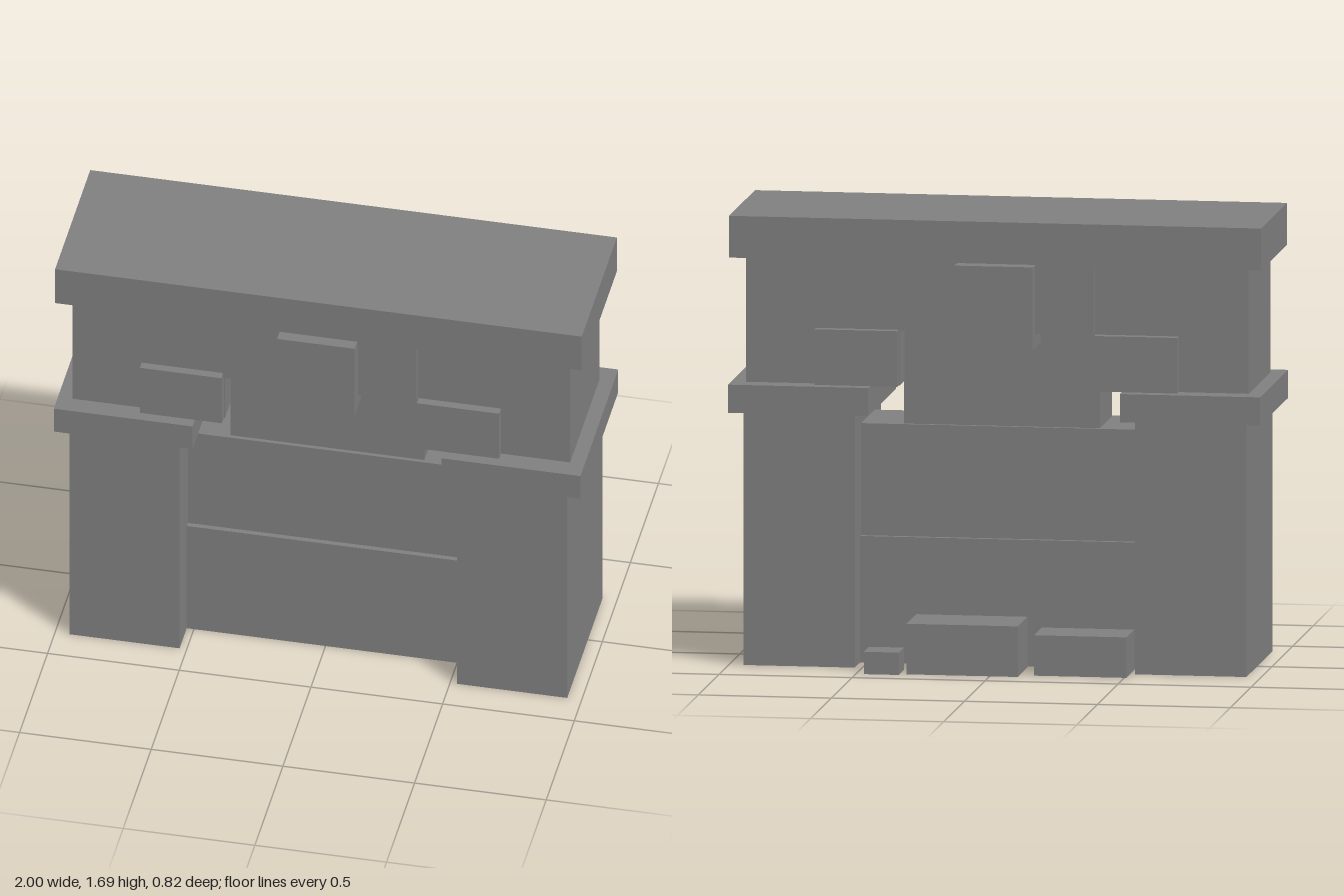
import * as THREE from 'three';

export function createModel() {
  const model = new THREE.Group();
  model.name = 'stoneMonument';
  const stone = new THREE.MeshStandardMaterial({ color: 0x808080 });
  stone.name = 'greyStone';

  // Adds a block spanning the given [min, max] ranges
  const block = (name, [x0, x1], [y0, y1], [z0, z1]) => {
    const mesh = new THREE.Mesh(new THREE.BoxGeometry(x1 - x0, y1 - y0, z1 - z0), stone);
    mesh.position.set((x0 + x1) / 2, (y0 + y1) / 2, (z0 + z1) / 2);
    mesh.name = name;
    model.add(mesh);
  };

  // Adds a block on the left (+x) and its mirror on the right
  const pair = (name, [x0, x1], y, z) => {
    block(name + 'Left', [x0, x1], y, z);
    block(name + 'Right', [-x1, -x0], y, z);
  };

  // Side pillars, capitals, upper walls and corbels
  pair('pillar', [0.527, 0.945], [0, 0.95], [-0.26, 0.367]);
  pair('capital', [0.473, 1], [0.95, 1.056], [-0.284, 0.39]);
  pair('upperWall', [0.366, 0.945], [1.056, 1.53], [-0.204, 0.315]);
  pair('corbel', [0.37, 0.682], [1.056, 1.265], [-0.24, 0.348]);

  // Infill between the pillars, stepping back as it rises
  block('lowerPanel', [-0.527, 0.527], [0, 0.475], [-0.13, 0.24]);
  block('middlePanel', [-0.527, 0.527], [0.475, 0.896], [-0.11, 0.22]);
  block('upperPanel', [-0.368, 0.368], [0.896, 1.27], [-0.095, 0.205]);

  // Lintel, keystone and cornice
  block('lintel', [-0.368, 0.368], [1.268, 1.53], [-0.24, 0.348]);
  block('keystone', [-0.148, 0.146], [1.215, 1.527], [-0.303, 0.408]);
  block('cornice', [-1, 1], [1.53, 1.687], [-0.26, 0.367]);

  // Loose stones on the ground behind
  block('looseStoneMedium', [-0.508, -0.16], [0, 0.152], [-0.349, -0.16]);
  block('looseStoneLarge', [-0.106, 0.312], [0, 0.19], [-0.39, -0.155]);
  block('looseStoneSmall', [0.338, 0.47], [0, 0.084], [-0.41, -0.287]);

  return model;
}
